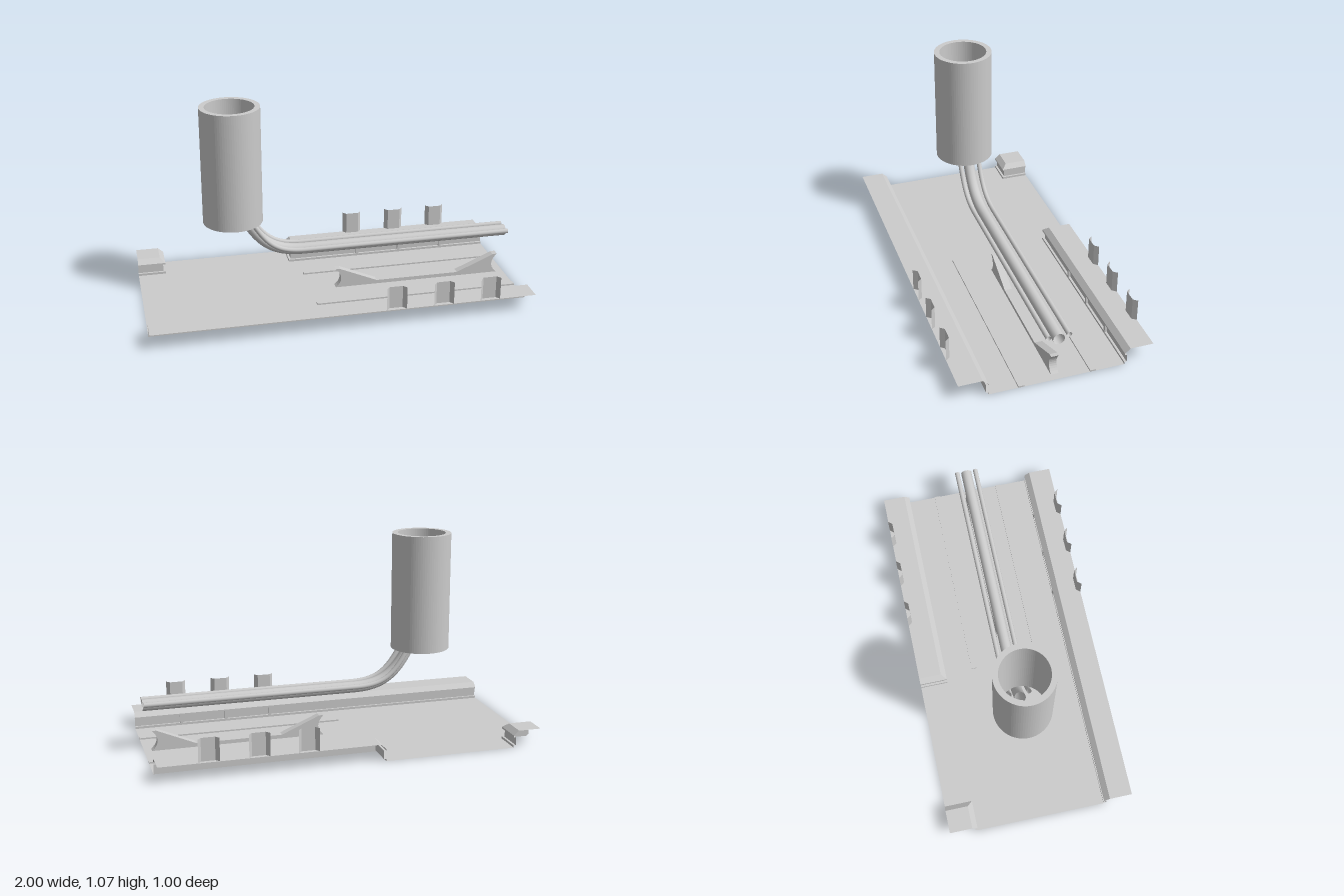
import * as THREE from 'three';

const mat = new THREE.MeshStandardMaterial({ color: 0xcccccc, side: THREE.DoubleSide });

function add(parent, name, geometry) {
  const mesh = new THREE.Mesh(geometry, mat);
  mesh.name = name;
  parent.add(mesh);
  return mesh;
}

// Kerb section as [inset, height]: recessed wall, bevel, flat walkway
const kerbProfile = [
  [0, 0], [0, 0.012], [0.012, 0.012], [0.012, 0.056], [0, 0.056],
  [0, 0.065], [0.028, 0.09], [0.15, 0.09],
];

// Sweeps the kerb section along [x, z, insetX, insetZ] stations with mitred corners
function kerb(path) {
  const pos = [];
  const at = ([x, z, ix, iz], [d, y]) => [x + ix * d, y, z + iz * d];
  for (let i = 0; i < path.length - 1; i++) {
    for (let j = 0; j < kerbProfile.length - 1; j++) {
      const a = at(path[i], kerbProfile[j]);
      const b = at(path[i + 1], kerbProfile[j]);
      const c = at(path[i + 1], kerbProfile[j + 1]);
      const d = at(path[i], kerbProfile[j + 1]);
      pos.push(...a, ...b, ...c, ...a, ...c, ...d);
    }
  }
  const g = new THREE.BufferGeometry();
  g.setAttribute('position', new THREE.Float32BufferAttribute(pos, 3));
  g.computeVertexNormals();
  return g;
}

// Pipe that runs level from the +x end, then bends up
function pipe(y, z, radius, topX) {
  const path = new THREE.CurvePath();
  const v = (x, yy) => new THREE.Vector3(x, yy, z);
  path.add(new THREE.LineCurve3(v(1, y), v(-0.13, y)));
  path.add(new THREE.CubicBezierCurve3(v(-0.13, y), v(-0.29, y), v(topX + 0.08, y + 0.05), v(topX, 0.45)));
  return new THREE.TubeGeometry(path, 100, radius, 16, false);
}

export function createModel() {
  const model = new THREE.Group();
  model.name = 'platform';

  // Floor with the bay at the back (shape y becomes -z)
  const floor = new THREE.Shape([
    [-1, -0.35], [1, -0.35], [1, 0.35], [-0.15, 0.35],
    [-0.15, 0.5], [-0.85, 0.5], [-0.85, 0.35], [-1, 0.35],
  ].map(([x, y]) => new THREE.Vector2(x, y)));
  add(model, 'floor', new THREE.ShapeGeometry(floor).rotateX(-Math.PI / 2));

  // Raised walkways
  add(model, 'frontWalkway', kerb([[-1, 0.35, 0, 1], [1, 0.35, 0, 1]]));
  add(model, 'backWalkway', kerb([[1, -0.35, 0, -1], [-0.15, -0.35, 1, -1], [-0.15, -0.5, 1, 0]]));
  add(model, 'backCorner', kerb([[-0.85, -0.5, -1, 0], [-0.85, -0.35, -1, -1], [-1, -0.35, 0, -1]]));

  for (const s of [1, -1]) {
    // Dividers between the recessed wall panels
    for (const x of [0.247, 0.497, 0.747]) {
      add(model, 'panelDivider', new THREE.BoxGeometry(0.014, 0.044, 0.012))
        .position.set(x, 0.034, s * 0.356);
    }
    // Channel posts, open towards the outside
    for (const x of [0.25, 0.5, 0.75]) {
      const outline = [[-0.053, 0.5], [-0.035, 0.478], [0.035, 0.478], [0.053, 0.5]];
      const pos = [];
      for (let i = 0; i < 3; i++) {
        const [ax, az] = outline[i];
        const [bx, bz] = outline[i + 1];
        const a = [ax, 0.09, s * az], b = [bx, 0.09, s * bz];
        const c = [bx, 0.21, s * bz], d = [ax, 0.21, s * az];
        if (s > 0) pos.push(...a, ...c, ...b, ...a, ...d, ...c);
        else pos.push(...a, ...b, ...c, ...a, ...c, ...d);
      }
      const g = new THREE.BufferGeometry();
      g.setAttribute('position', new THREE.Float32BufferAttribute(pos, 3));
      g.computeVertexNormals();
      add(model, 'post', g).position.x = x;
    }
    // Low strips along the floor
    add(model, 'floorStrip', new THREE.BoxGeometry(1.1, 0.008, 0.03))
      .position.set(0.45, 0.004, s * 0.185);
    // Thin side pipes
    add(model, 'sidePipe', pipe(0.26, s * 0.053, 0.013, -0.42));
  }

  // Central barrier with raised, hollowed ends
  const barrier = new THREE.Shape();
  barrier.moveTo(0.04, 0);
  barrier.quadraticCurveTo(0.1, 0.05, 0.04, 0.11);
  barrier.lineTo(0.065, 0.108);
  barrier.lineTo(0.27, 0.02);
  barrier.lineTo(0.73, 0.02);
  barrier.lineTo(0.935, 0.108);
  barrier.lineTo(0.96, 0.11);
  barrier.quadraticCurveTo(0.9, 0.05, 0.96, 0);
  add(model, 'centreBarrier', new THREE.ExtrudeGeometry(barrier, {
    depth: 0.04, bevelEnabled: false, curveSegments: 10,
  })).position.z = -0.02;

  // Main pipe
  add(model, 'mainPipe', pipe(0.245, 0, 0.03, -0.445));

  // Upright open tank
  const tank = new THREE.Shape().absarc(0, 0, 0.156, 0, Math.PI * 2);
  tank.holes.push(new THREE.Path().absarc(0, 0, 0.127, 0, Math.PI * 2, true));
  add(model, 'tank', new THREE.ExtrudeGeometry(tank, {
    depth: 0.625, bevelEnabled: false, curveSegments: 40,
  }).rotateX(-Math.PI / 2)).position.set(-0.508, 0.442, 0);

  return model;
}
